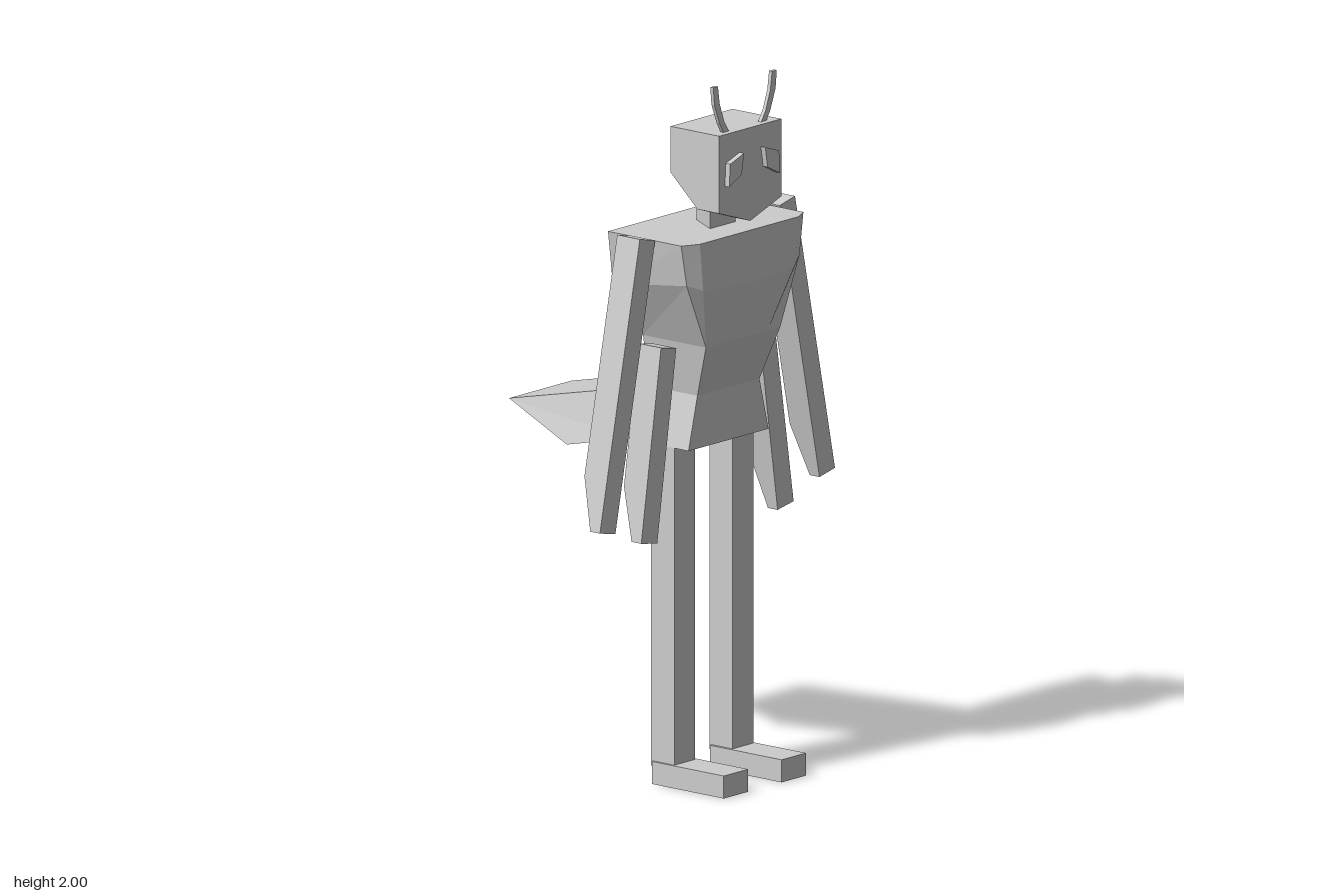
import * as THREE from 'three';

const grey = new THREE.MeshStandardMaterial({ color: 0xcccccc, flatShading: true });
grey.name = 'plain grey';

// Joins rings of corners into a closed solid; rings turn anticlockwise about the direction of travel.
// side = -1 mirrors the solid in x.
function loft(name, rings, side = 1) {
  const pos = [];
  const tri = (a, b, c) => {
    for (const p of side > 0 ? [a, b, c] : [a, c, b]) pos.push(p[0] * side, p[1], p[2]);
  };
  const n = rings[0].length;
  for (let r = 0; r < rings.length - 1; r++) {
    const a = rings[r], b = rings[r + 1];
    for (let i = 0; i < n; i++) {
      const j = (i + 1) % n;
      tri(a[i], a[j], b[j]);
      tri(a[i], b[j], b[i]);
    }
  }
  const first = rings[0], last = rings[rings.length - 1];
  for (let i = 1; i < n - 1; i++) {
    tri(first[0], first[i + 1], first[i]);
    tri(last[0], last[i], last[i + 1]);
  }
  const geo = new THREE.BufferGeometry();
  geo.setAttribute('position', new THREE.Float32BufferAttribute(pos, 3));
  geo.computeVertexNormals();
  const mesh = new THREE.Mesh(geo, grey);
  mesh.name = name;
  return mesh;
}

function box(name, x0, x1, y0, y1, z0, z1) {
  const mesh = new THREE.Mesh(new THREE.BoxGeometry(x1 - x0, y1 - y0, z1 - z0), grey);
  mesh.position.set((x0 + x1) / 2, (y0 + y1) / 2, (z0 + z1) / 2);
  mesh.name = name;
  return mesh;
}

// Four-cornered ring of a limb: inner and outer (x, y), front and back z
const limbRing = ([xi, yi], [xo, yo], zf, zb) => [[xi, yi, zf], [xo, yo, zf], [xo, yo, zb], [xi, yi, zb]];

// Straight arm whose lower end is cut back at the rear
function arm(name, innerTop, outerTop, innerEnd, outerEnd, cut, side) {
  const at = (end, top) => [end[0] + (top[0] - end[0]) * cut, end[1] + (top[1] - end[1]) * cut];
  return loft(name, [
    limbRing(innerEnd, outerEnd, 0.235, 0.2),
    limbRing(at(innerEnd, innerTop), at(outerEnd, outerTop), 0.235, 0.153),
    limbRing(innerTop, outerTop, 0.235, 0.153),
  ], side);
}

// Torso ring: half width, bevel half width, side and centre heights, front, bevel and back z
const torsoRing = (w, b, ys, yc, zf, zs, zb) => [
  [0, yc, zf], [b, (ys + yc) / 2, zf], [w, ys, zs], [w, yc, zb],
  [-w, yc, zb], [-w, ys, zs], [-b, (ys + yc) / 2, zf],
];

// Head ring: side and centre heights of the jaw at depth z
const headRing = (ys, yc, z) => [
  [-0.132, 1.865, z], [0.132, 1.865, z], [0.132, ys, z], [0, yc, z], [-0.132, ys, z],
];

export function createModel() {
  const model = new THREE.Group();
  model.name = 'insectFigure';

  // Body
  model.add(loft('torso', [
    torsoRing(0.17, 0.1, 0.965, 0.965, 0.275, 0.275, 0.055),
    torsoRing(0.132, 0.09, 1.115, 1.115, 0.275, 0.275, 0.1),
    torsoRing(0.158, 0.105, 1.265, 1.265, 0.328, 0.328, 0.1),
    torsoRing(0.24, 0.195, 1.455, 1.42, 0.35, 0.328, 0.06),
    torsoRing(0.26, 0.21, 1.572, 1.572, 0.35, 0.325, 0.06),
  ]));
  model.add(loft('abdomen', [
    [[-0.132, 1.115, 0.1], [0.132, 1.115, 0.1], [0.17, 0.965, 0.055], [-0.17, 0.965, 0.055]],
    [[-0.133, 1, -0.407], [0.133, 1, -0.407], [0.175, 0.915, -0.162], [-0.175, 0.915, -0.162]],
  ]));

  // Three-sided neck with its edge at the back
  const neck = new THREE.Mesh(new THREE.CylinderGeometry(0.063, 0.063, 0.09, 3), grey);
  neck.rotation.y = Math.PI;
  neck.position.set(0, 1.605, 0.223);
  neck.name = 'neck';
  model.add(neck);

  // Head with pointed jaw and cut-away nape
  model.add(loft('head', [
    headRing(1.645, 1.6, 0.354),
    headRing(1.645, 1.6, 0.275),
    headRing(1.735, 1.735, 0.177),
  ]));

  for (const side of [1, -1]) {
    const word = side > 0 ? 'left' : 'right';

    // Slanted eye plate
    const eye = [[0.045, 1.803], [0.055, 1.745], [0.108, 1.718], [0.104, 1.783]];
    model.add(loft(word + 'Eye', [0.35, 0.37].map(z => eye.map(([x, y]) => [x, y, z])), side));

    // Curved antenna
    const bends = [[0.062, 1.855, 0.086], [0.088, 1.895, 0.109], [0.108, 1.95, 0.13], [0.115, 2, 0.135]];
    model.add(loft(word + 'Antenna',
      bends.map(([xi, y, xo]) => limbRing([xi, y], [xo, y], 0.335, 0.324)), side));

    // Two pairs of arms
    model.add(arm(word + 'UpperArm', [0.265, 1.575], [0.33, 1.59], [0.434, 0.772], [0.5, 0.786], 0.18, side));
    model.add(arm(word + 'LowerArm', [0.175, 1.252], [0.24, 1.265], [0.256, 0.712], [0.324, 0.724], 0.27, side));

    // Leg and foot
    const [l0, l1] = [0.08 * side, 0.168 * side].sort((a, b) => a - b);
    const [f0, f1] = [0.071 * side, 0.175 * side].sort((a, b) => a - b);
    model.add(box(word + 'Leg', l0, l1, 0.05, 0.967, 0.138, 0.222));
    model.add(box(word + 'Foot', f0, f1, 0, 0.064, 0.147, 0.407));
  }
  return model;
}
